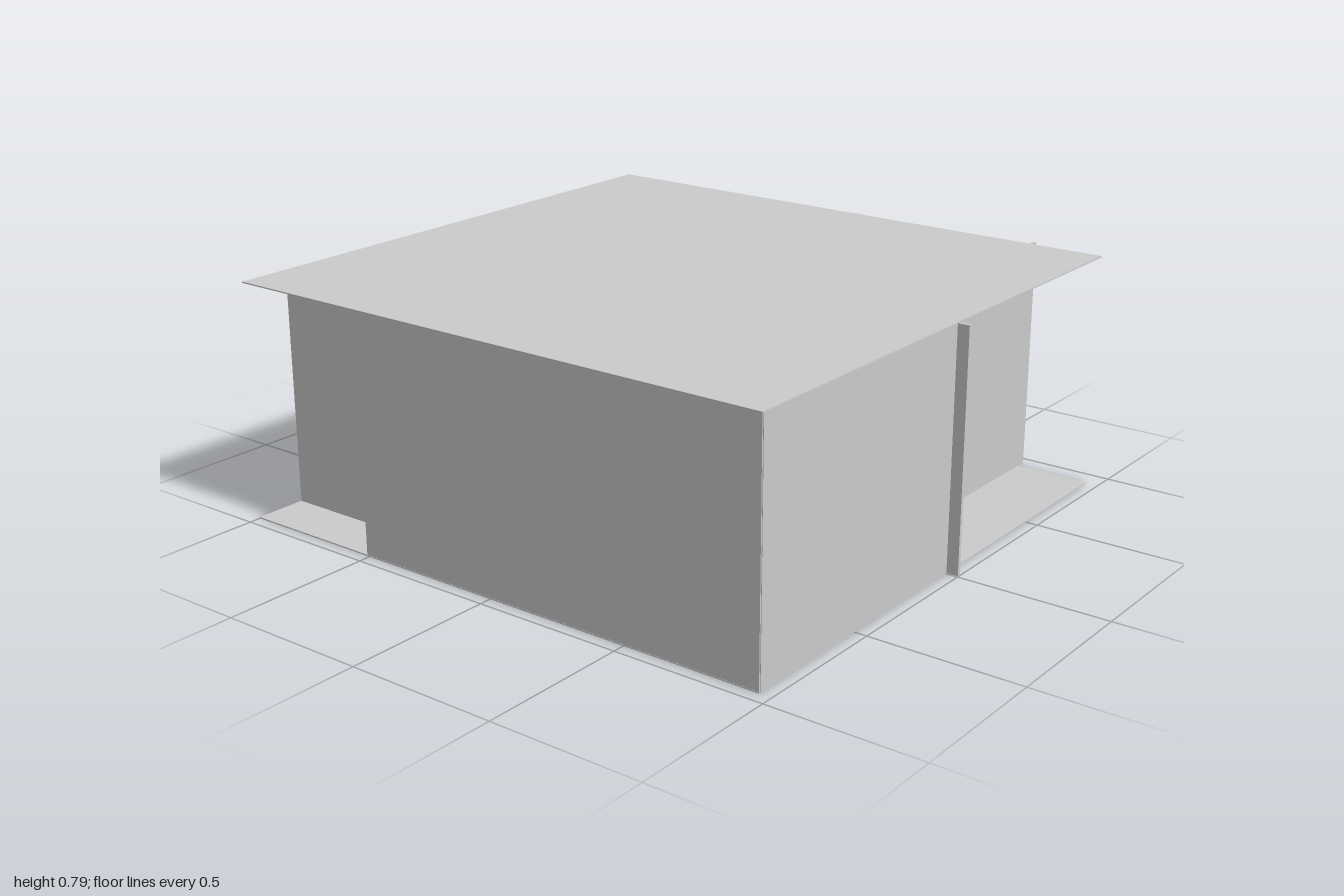
import * as THREE from 'three';

const HEIGHT = 0.785;
const PLATE = 0.004;

export function createModel() {
  const group = new THREE.Group();
  const material = new THREE.MeshStandardMaterial({ color: 0xcccccc, flatShading: true });

  // Box given by its extents on each axis
  function block(name, x0, x1, y0, y1, z0, z1) {
    const mesh = new THREE.Mesh(new THREE.BoxGeometry(x1 - x0, y1 - y0, z1 - z0), material);
    mesh.position.set((x0 + x1) / 2, (y0 + y1) / 2, (z0 + z1) / 2);
    mesh.name = name;
    group.add(mesh);
  }
  const wall = (name, x0, x1, z0, z1) => block(name, x0, x1, PLATE / 2, HEIGHT - PLATE / 2, z0, z1);

  // Floor and ceiling plates, overhanging the two recessed corners
  block('floor', -0.96, 0.92, 0, PLATE, -1, 0.96);
  block('ceiling', -0.96, 0.92, HEIGHT - PLATE, HEIGHT, -1, 0.96);

  // Outer walls
  wall('frontWall', -0.955, 0.005, 0.95, 0.961);
  wall('leftOuterWall', 0.909, 0.919, -0.999, 0.7);
  wall('backWall', -0.78, 0.919, -0.999, -0.989);
  wall('rightOuterWall', -0.959, -0.949, -0.51, 0.959);

  // Front recess: its two walls run a little past the plates
  wall('frontRecessSide', 0.002, 0.014, 0.69, 1.0);
  wall('frontRecessBack', 0.002, 0.955, 0.692, 0.704);

  // Rear recess
  wall('rearRecessSide', -0.785, -0.775, -0.999, -0.5);
  wall('rearRecessBack', -0.959, -0.775, -0.51, -0.5);

  // Shallow posts on the walls
  wall('recessPost', 0.385, 0.44, 0.69, 0.72);
  wall('sidePost', 0.9, 0.93, -0.005, 0.05);

  return group;
}
